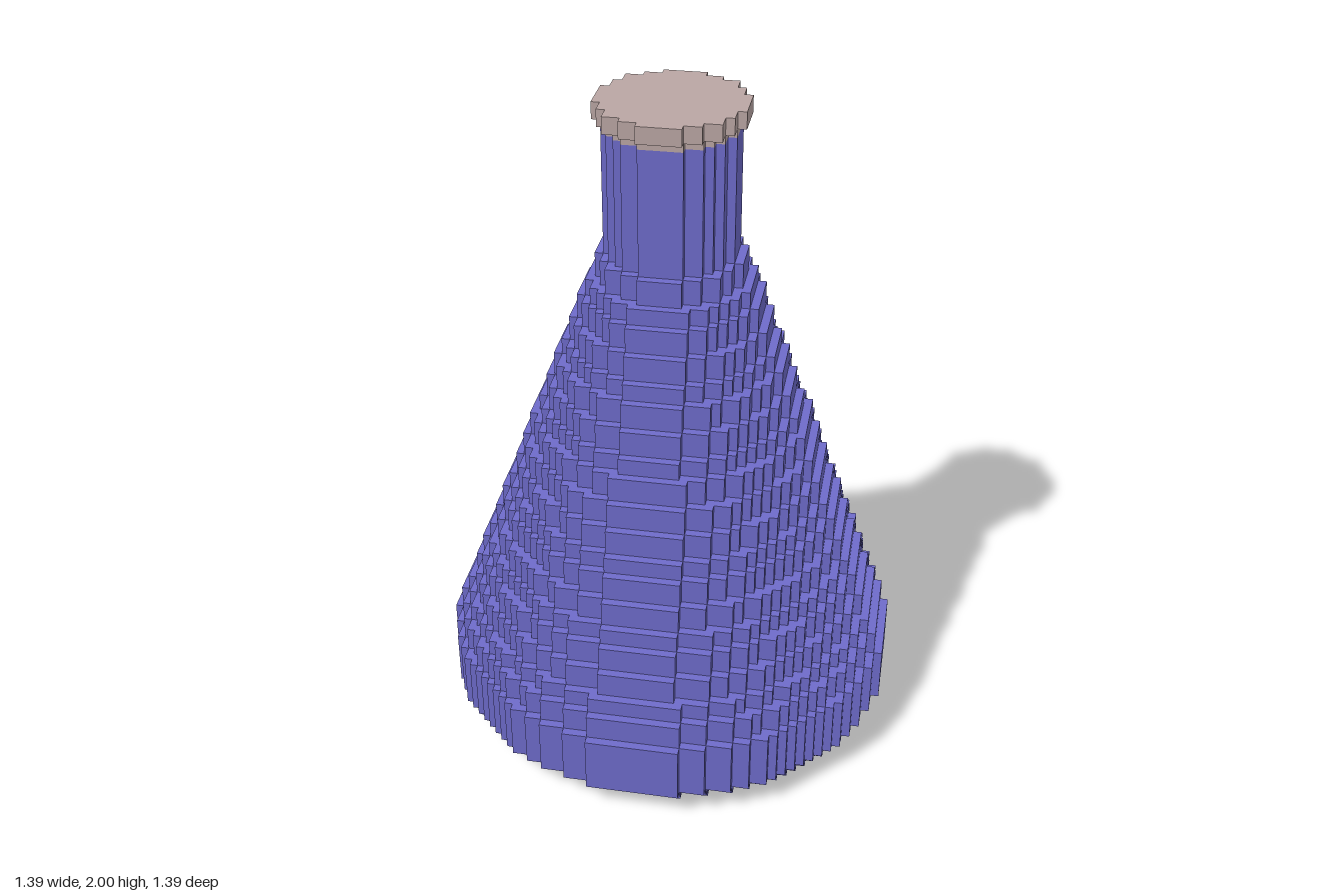
import * as THREE from 'three';
import { mergeGeometries } from 'three/addons/utils/BufferGeometryUtils.js';

const V = 2 / 79; // size of one block

// Stepped outline of a block disc whose half width is n + 0.5 blocks
function discShape(n) {
  const r = n + 0.5;
  const reach = (row) => Math.floor(Math.sqrt(r * r - row * row)) + 0.5;
  const pts = [];
  const add = (x, y) => pts.push(new THREE.Vector2(x * V, y * V));
  // right side upwards, then left side downwards; only corners are kept
  for (const s of [1, -1]) {
    let start = -n;
    for (let row = -n; row <= n; row++) {
      if (row < n && reach(row + 1) === reach(row)) continue;
      add(s * reach(row), s * (start - 0.5));
      add(s * reach(row), s * (row + 0.5));
      start = row + 1;
    }
  }
  return new THREE.Shape(pts);
}

// Upright disc from layer y0 to layer y1
function disc(n, y0, y1) {
  const g = new THREE.ExtrudeGeometry(discShape(n), { depth: (y1 - y0) * V, bevelEnabled: false });
  g.rotateX(-Math.PI / 2);
  g.translate(0, y0 * V, 0);
  return g;
}

export function createModel() {
  const group = new THREE.Group();
  group.name = 'conicalFlask';
  const glass = new THREE.MeshStandardMaterial({ color: 0x6e6bca });
  glass.name = 'violet liquid';
  const cork = new THREE.MeshStandardMaterial({ color: 0xbaa6a4 });
  cork.name = 'pale stopper';

  const addPart = (name, discs, material) => {
    const mesh = new THREE.Mesh(mergeGeometries(discs), material);
    mesh.name = name;
    group.add(mesh);
  };

  // Rounded foot and widest band
  addPart('base', [disc(24, 0, 1), disc(25, 1, 2), disc(26, 2, 3), disc(27, 3, 10)], glass);

  // Cone: each step is one block narrower than the one below
  const steps = [10, 13, 15, 18, 21, 23, 26, 29, 31, 34, 37, 40, 42, 45, 48, 50, 53, 56, 58, 61];
  addPart('cone', steps.slice(0, -1).map((y, i) => disc(26 - i, y, steps[i + 1])), glass);

  // Straight neck
  addPart('neck', [disc(7, 61, 76)], glass);

  // Stopper with a wider rim
  addPart('stopper', [disc(7, 76, 77), disc(8, 77, 79)], cork);

  return group;
}
